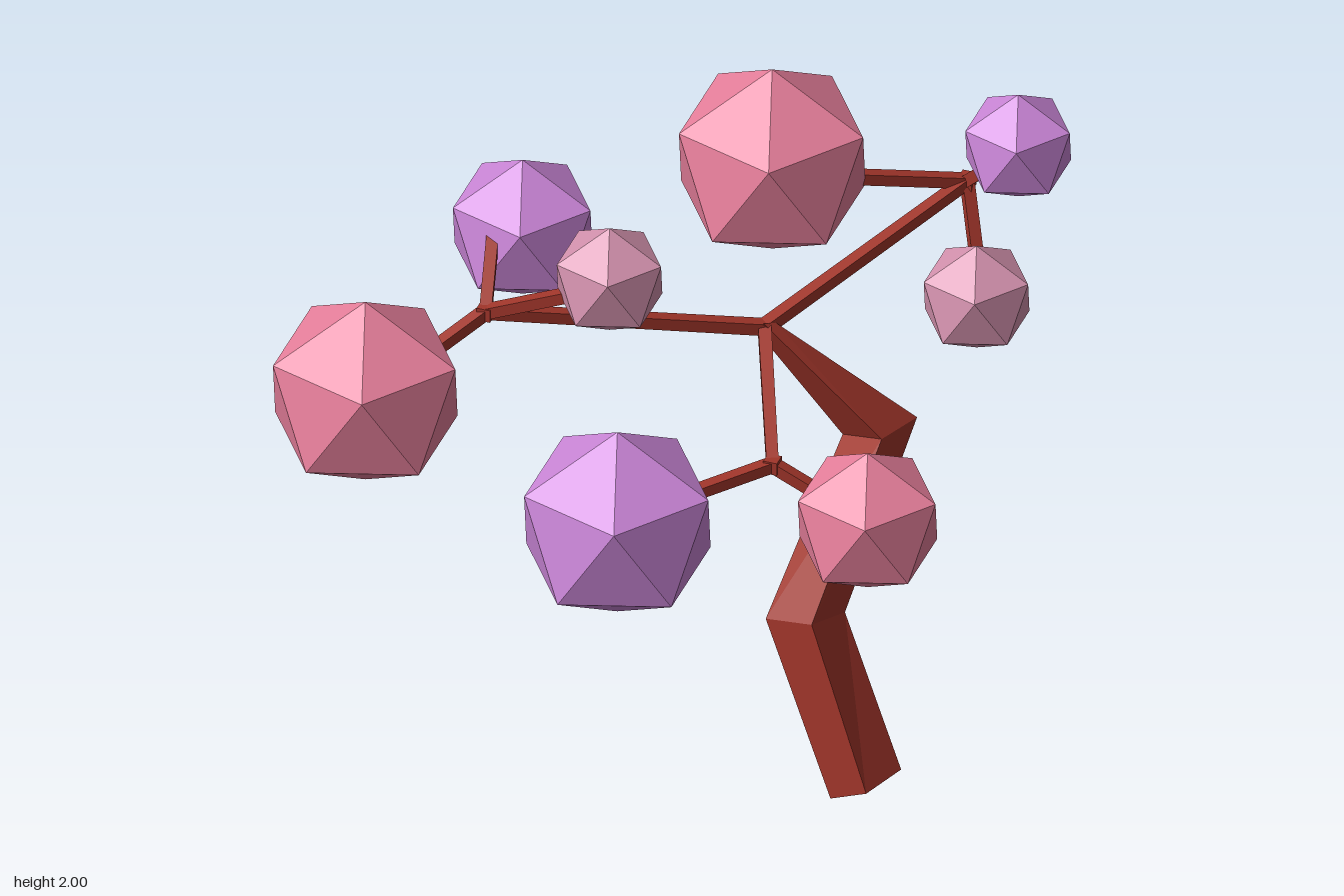
import * as THREE from 'three';

const mat = (color) => new THREE.MeshStandardMaterial({ color, flatShading: true, roughness: 0.9 });
const bark = mat(0xa0352a);
const pink = mat(0xe8809c), purple = mat(0xcb86d8), pale = mat(0xd492ae);
const V = (p) => new THREE.Vector3(...p);

// Four-sided bent trunk, lofted through square rings from the ground up
function trunkGeometry(rings) {
  const pos = rings.flat(2), idx = [];
  for (let r = 0; r < rings.length - 1; r++) {
    for (let i = 0; i < 4; i++) {
      const a = r * 4 + i, b = r * 4 + (i + 1) % 4;
      idx.push(a, b, b + 4, a, b + 4, a + 4);
    }
  }
  const t = (rings.length - 1) * 4;
  idx.push(0, 2, 1, 0, 3, 2, t, t + 1, t + 2, t, t + 2, t + 3);
  let g = new THREE.BufferGeometry();
  g.setAttribute('position', new THREE.Float32BufferAttribute(pos, 3));
  g.setIndex(idx);
  g = g.toNonIndexed();
  g.computeVertexNormals();
  return g;
}

// Square tapered stick between two points
function stick(name, from, to, r0, r1) {
  const a = V(from), b = V(to), dir = b.clone().sub(a);
  const g = new THREE.CylinderGeometry(r1, r0, dir.length(), 4);
  g.rotateY(Math.PI / 4);
  const m = new THREE.Mesh(g, bark);
  const y = dir.normalize();
  const x = new THREE.Vector3(0, 1, 0).cross(y).normalize();
  const z = x.clone().cross(y);
  m.quaternion.setFromRotationMatrix(new THREE.Matrix4().makeBasis(x, y, z));
  m.position.copy(a).add(b).multiplyScalar(0.5);
  m.name = name;
  return m;
}

// Icosahedron standing on a vertex, with an upper-ring corner towards +x
function foliage(center, r, material) {
  const g = new THREE.IcosahedronGeometry(r, 0);
  g.rotateX(-Math.atan((1 + Math.sqrt(5)) / 2));
  g.rotateY(Math.PI / 2);
  const m = new THREE.Mesh(g, material);
  m.position.set(...center);
  m.name = 'foliageBall';
  return m;
}

export function createModel() {
  const tree = new THREE.Group();
  tree.name = 'tree';

  // Trunk
  const trunk = new THREE.Mesh(trunkGeometry([
    [[0.51, 0, 0.085], [0.63, 0.07, 0.125], [0.68, 0.07, -0.02], [0.56, 0, -0.055]],
    [[0.29, 0.5, 0.005], [0.44, 0.54, 0.045], [0.485, 0.5, -0.1], [0.335, 0.46, -0.14]],
    [[0.405, 0.95, -0.3], [0.54, 1.0, -0.245], [0.595, 1.0, -0.38], [0.46, 0.95, -0.435]],
    [[0.19, 1.33, -0.18], [0.22, 1.36, -0.17], [0.245, 1.35, -0.2], [0.205, 1.33, -0.215]],
  ]), bark);
  trunk.name = 'trunk';
  tree.add(trunk);

  // Three boughs, each forking into twigs that carry foliage
  const top = [0.215, 1.335, -0.19];
  const boughs = [
    { name: 'rightBough', fork: [-0.435, 1.535, 0.28], twigs: [
      { end: [-0.56, 1.455, 0.44], ball: [-0.68, 1.405, 0.58], r: 0.297, m: pink },
      { end: [-0.5, 1.64, 0.04], ball: [-0.46, 1.58, -0.085], r: 0.224, m: purple },
      { end: [-0.19, 1.635, 0.255], ball: [-0.09, 1.69, 0.225], r: 0.17, m: pale }] },
    { name: 'backBough', fork: [0.585, 1.515, -0.81], twigs: [
      { end: [0.3, 1.61, -0.58], ball: [0.135, 1.7, -0.47], r: 0.3, m: pink },
      { end: [0.735, 1.68, -0.74], ball: [0.787, 1.77, -0.67], r: 0.17, m: purple },
      { end: [0.64, 1.31, -0.74], ball: [0.657, 1.22, -0.69], r: 0.17, m: pale }] },
    { name: 'frontBough', fork: [0.385, 1.17, 0.21], twigs: [
      { end: [0.2, 1.14, 0.39], ball: [0.043, 1.1, 0.525], r: 0.3, m: purple },
      { end: [0.52, 1.1, 0.2], ball: [0.658, 1.035, 0.19], r: 0.224, m: pink }] },
  ];
  for (const { name, fork, twigs } of boughs) {
    const g = new THREE.Group();
    g.name = name;
    g.add(stick('bough', top, fork, 0.026, 0.024));
    // Knuckle where the twigs meet
    const knuckle = new THREE.Mesh(new THREE.BoxGeometry(0.04, 0.04, 0.04), bark);
    knuckle.position.set(...fork);
    knuckle.name = 'forkKnuckle';
    g.add(knuckle);
    for (const t of twigs) {
      g.add(stick('twig', fork, t.end, 0.024, 0.024), foliage(t.ball, t.r, t.m));
    }
    tree.add(g);
  }
  return tree;
}
